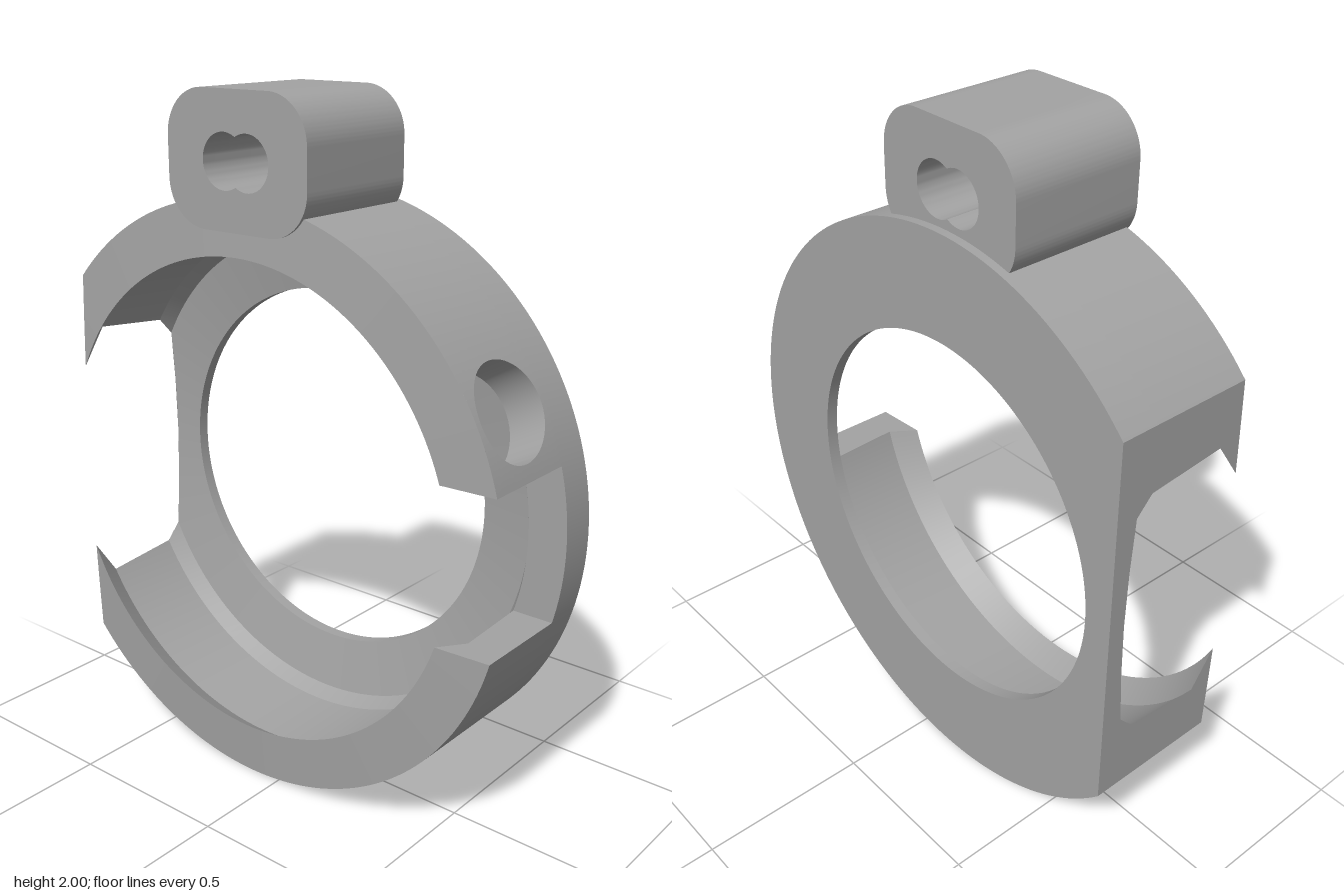
import * as THREE from 'three';
import { toCreasedNormals } from 'three/addons/utils/BufferGeometryUtils.js';

const FLAT = 0.64;            // distance from ring axis to the flat side
const NOTCH = 0.223;          // half height of the side notch
const FLOOR = -0.1;           // z of the notch floor
const HOLE = { theta: 27.3 * Math.PI / 180, z: 0.05, r: 0.137 };
const PATCH_END = 40 * Math.PI / 180;

// Ring cross-section as [radius, z]
const P = {
  boreBack: [0.555, -0.215], outBack: [0.86, -0.215], outFloor: [0.86, FLOOR], outFront: [0.86, 0.205],
  lipFront: [0.705, 0.215], lipBack: [0.757, 0.14], wallFloor: [0.745, FLOOR],
  seat: [0.72, -0.148], boreFront: [0.555, -0.18],
};

const lerp = THREE.MathUtils.lerp;
const notchAngle = r => Math.asin(NOTCH / r);
const limit = th => (Math.cos(th) < -1e-6 ? -FLAT / Math.cos(th) : Infinity);
const polar = (r, th, z) => [r * Math.cos(th), r * Math.sin(th), z];
const innerRadius = z => (z > 0.14
  ? lerp(0.757, 0.705, (z - 0.14) / 0.075)
  : lerp(0.745, 0.757, (z - FLOOR) / 0.24));

// Angles around the ring, with exact stops where each radius meets the flat side
const angles = [];
for (let i = 0; i <= 180; i++) angles.push(i * Math.PI / 90);
for (const [r] of Object.values(P)) {
  if (r > FLAT) {
    const a = Math.acos(FLAT / r);
    angles.push(Math.PI - a, Math.PI + a);
  }
}
angles.push(PATCH_END);
angles.sort((a, b) => a - b);

function triangle(out, a, b, c) {
  const [A, B, C] = [a, b, c].map(p => new THREE.Vector3(...p));
  if (B.sub(A).cross(C.sub(A)).length() > 1e-9) out.push(...a, ...b, ...c);
}
function quad(out, a, b, c, d) {
  triangle(out, a, b, c);
  triangle(out, a, c, d);
}

// Revolve one profile segment, trimmed by the flat side and, if asked, by the notch
function revolve(out, p, q, notched = false, start = 0) {
  const clip = (a, b, th) => {
    const R = limit(th);
    let [r, z] = a;
    if (r > R + 1e-6 && b[0] < r) {
      const t = Math.max(0, (R - b[0]) / (r - b[0]));
      z = lerp(b[1], z, t);
      r = lerp(b[0], r, t);
    }
    const n = notched ? notchAngle(r) : 0;
    return polar(r, THREE.MathUtils.clamp(th, n, 2 * Math.PI - n), z);
  };
  for (let i = 0; i + 1 < angles.length; i++) {
    const s = angles[i], e = angles[i + 1];
    if (e - s < 1e-7 || s < start - 1e-7) continue;
    if (limit((s + e) / 2) < Math.min(p[0], q[0])) continue;
    quad(out, clip(p, q, s), clip(p, q, e), clip(q, p, e), clip(q, p, s));
  }
}

// Wall patch around the round hole; returns the rim of the hole
function holePatch(out, radiusAt, zTop, flip) {
  const t0 = notchAngle(0.86), n = 20, edge = [];
  const corners = [[t0, FLOOR], [PATCH_END, FLOOR], [PATCH_END, zTop], [t0, zTop]];
  corners.forEach((c, i) => {
    const d = corners[(i + 1) % 4];
    for (let k = 0; k < n; k++) edge.push([lerp(c[0], d[0], k / n), lerp(c[1], d[1], k / n)]);
  });
  const steps = 8;
  const rings = edge.map(([th, z]) => {
    const phi = Math.atan2(z - HOLE.z, (th - HOLE.theta) * 0.8);
    const hz = HOLE.z + HOLE.r * Math.sin(phi);
    const ht = HOLE.theta + Math.asin(HOLE.r * Math.cos(phi) / radiusAt(hz));
    return Array.from({ length: steps + 1 }, (_, k) => {
      const zz = lerp(hz, z, k / steps), r = radiusAt(zz);
      return polar(r, Math.max(lerp(ht, th, k / steps), notchAngle(r)), zz);
    });
  });
  rings.forEach((a, i) => {
    const b = rings[(i + 1) % rings.length];
    for (let k = 0; k < steps; k++) {
      if (flip) quad(out, a[k], b[k], b[k + 1], a[k + 1]);
      else quad(out, a[k], a[k + 1], b[k + 1], b[k]);
    }
  });
  return rings.map(a => a[0]);
}

// Flat polygon given in 2D and placed by a mapping function
function polygon(out, pts, place) {
  const v = pts.map(p => new THREE.Vector2(...p));
  for (const f of THREE.ShapeUtils.triangulateShape(v, [])) {
    triangle(out, ...f.map(i => place(pts[i][0], pts[i][1])));
  }
}

export function createModel() {
  const model = new THREE.Group();
  const grey = new THREE.MeshStandardMaterial({ color: 0xa3a3a3, side: THREE.DoubleSide });
  grey.name = 'grey';

  const ring = new THREE.Group();
  ring.name = 'ring';
  ring.position.set(-0.11, 0.86, 0);
  model.add(ring);

  const part = (name, fill) => {
    const out = [];
    fill(out);
    const g = new THREE.BufferGeometry();
    g.setAttribute('position', new THREE.Float32BufferAttribute(out, 3));
    const mesh = new THREE.Mesh(toCreasedNormals(g, 0.5), grey);
    mesh.name = name;
    ring.add(mesh);
  };

  // Back plate with its bore and shallow conical seat
  part('backPlate', o => {
    revolve(o, P.boreBack.slice(), P.boreBack);
    revolve(o, P.boreFront, P.boreBack);
    revolve(o, P.boreBack, P.outBack);
    revolve(o, P.outBack, P.outFloor);
    revolve(o, P.wallFloor, P.seat);
    revolve(o, P.seat, P.boreFront);
  });

  // Outer and inner walls, with the round hole through them
  let outerRim, innerRim;
  part('outerWall', o => {
    revolve(o, P.outFloor, P.outFront, true, PATCH_END);
    outerRim = holePatch(o, () => 0.86, 0.205, false);
  });
  part('frontFace', o => revolve(o, P.outFront, P.lipFront, true));
  part('innerWall', o => {
    revolve(o, P.lipFront, P.lipBack, true, PATCH_END);
    revolve(o, P.lipBack, P.wallFloor, true, PATCH_END);
    innerRim = holePatch(o, innerRadius, 0.215, true);
  });
  part('sideHole', o => outerRim.forEach((a, i) => {
    const j = (i + 1) % outerRim.length;
    quad(o, innerRim[i], a, outerRim[j], innerRim[j]);
  }));

  // Notch floor and its two side faces
  part('notch', o => {
    const n = 16;
    const arc = (r, k) => {
      const p = polar(r, lerp(-1, 1, k / n) * notchAngle(r), FLOOR);
      return p;
    };
    for (let k = 0; k < n; k++) quad(o, arc(0.745, k), arc(0.86, k), arc(0.86, k + 1), arc(0.745, k + 1));
    const side = [P.outFloor, P.outFront, P.lipFront, P.lipBack, P.wallFloor]
      .map(([r, z]) => [Math.sqrt(r * r - NOTCH * NOTCH), z]);
    for (const s of [-1, 1]) polygon(o, side, (x, z) => [x, s * NOTCH, z]);
  });

  // Flat side, opened where it cuts into the pocket
  part('flatSide', o => {
    const half = [P.outBack, P.outFront, P.lipFront, P.lipBack, P.wallFloor, P.seat, [0.662, -0.159]]
      .map(([r, z]) => [Math.sqrt(r * r - FLAT * FLAT), z]);
    const mirrored = half.map(([y, z]) => [-y, z]).reverse();
    polygon(o, [...half, [0, -0.1635], ...mirrored], (y, z) => [-FLAT, y, z]);
  });

  // Lug on top: rounded block with a double-round slot
  const w = 0.245, h = 0.185, c = 0.13;
  const shape = new THREE.Shape();
  shape.absarc(w - c, h - c, c, 0, Math.PI / 2);
  shape.absarc(c - w, h - c, c, Math.PI / 2, Math.PI);
  shape.absarc(c - w, c - h, c, Math.PI, Math.PI * 1.5);
  shape.absarc(w - c, c - h, c, Math.PI * 1.5, Math.PI * 2);
  const slot = new THREE.Path();
  const a = Math.acos(0.04 / 0.076);
  slot.absarc(0.04, 0, 0.076, a - Math.PI, Math.PI - a);
  slot.absarc(-0.04, 0, 0.076, a, 2 * Math.PI - a);
  shape.holes.push(slot);
  const lugGeometry = new THREE.ExtrudeGeometry(shape, { depth: 0.405, bevelEnabled: false, curveSegments: 20 });
  const lug = new THREE.Mesh(toCreasedNormals(lugGeometry, 0.5), grey);
  lug.name = 'lug';
  lug.position.set(-0.11, 1.815, -0.19);
  model.add(lug);

  return model;
}
